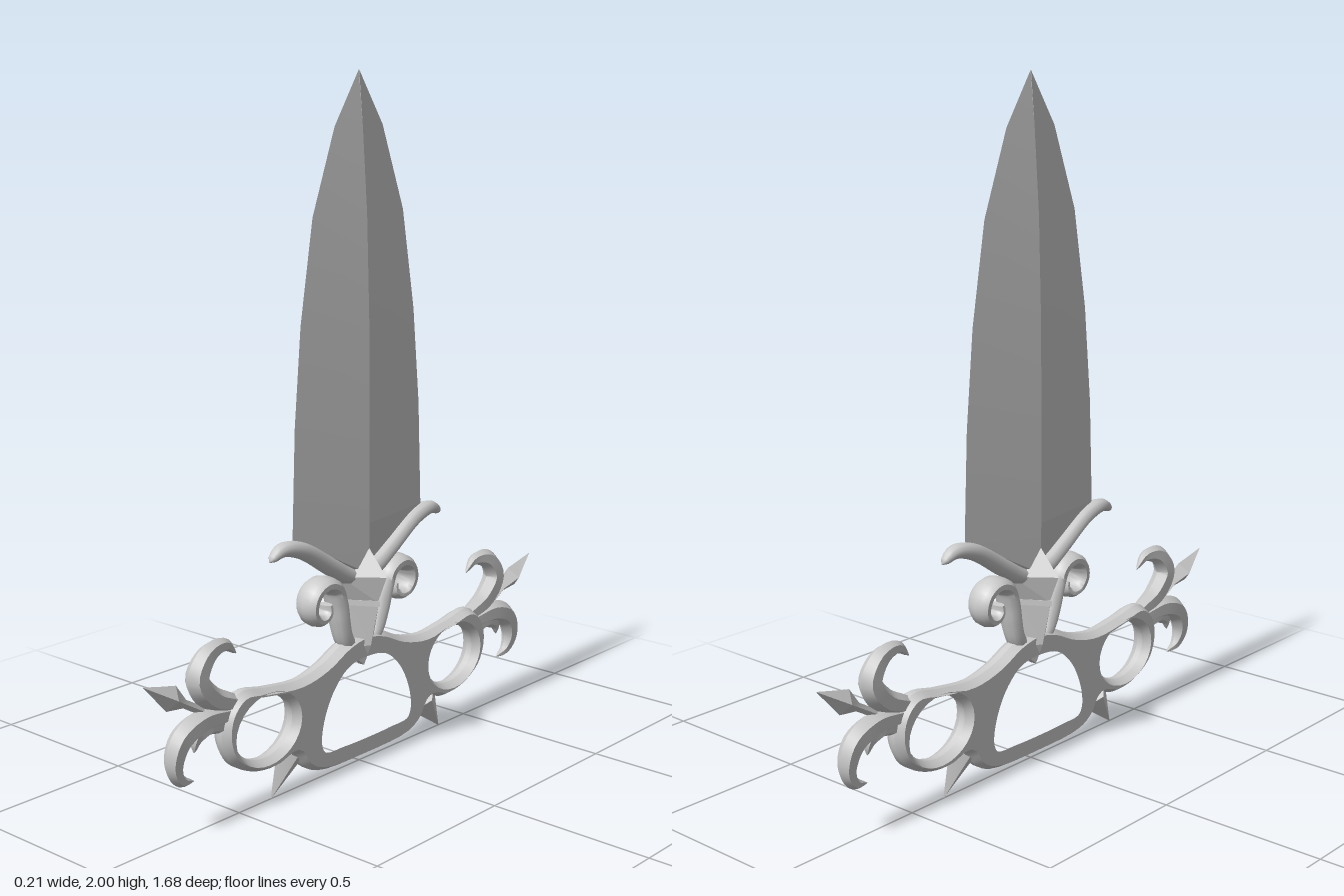
import * as THREE from 'three';
import { toCreasedNormals } from 'three/addons/utils/BufferGeometryUtils.js';

const material = new THREE.MeshStandardMaterial({ color: 0xcccccc });

function mesh(name, geometry, crease) {
  const m = new THREE.Mesh(toCreasedNormals(geometry, crease), material);
  m.name = name;
  return m;
}

// Skins a list of closed rings (equal point counts) and caps both ends.
function loft(rings) {
  const n = rings[0].length, pos = [], idx = [];
  rings.forEach(r => r.forEach(p => pos.push(p.x, p.y, p.z)));
  for (let j = 0; j < rings.length - 1; j++) {
    for (let i = 0; i < n; i++) {
      const a = j * n + i, b = j * n + (i + 1) % n;
      idx.push(a, b, a + n, b, b + n, a + n);
    }
  }
  const last = (rings.length - 1) * n;
  for (let i = 1; i < n - 1; i++) idx.push(0, i + 1, i, last, last + i, last + i + 1);
  const g = new THREE.BufferGeometry();
  g.setAttribute('position', new THREE.Float32BufferAttribute(pos, 3));
  g.setIndex(idx);
  return g;
}

// Oval ring around a point: w in the flat plane of the weapon, t across it.
function ring(center, normal, w, t, sides) {
  return Array.from({ length: sides }, (_, i) => {
    const a = i / sides * Math.PI * 2;
    const p = center.clone().addScaledVector(normal, w * Math.cos(a));
    p.x += t * Math.sin(a);
    return p;
  });
}

// Upright diamond solid from [y, halfZ, halfX] rows, bottom to top.
function diamond(rows) {
  const n = new THREE.Vector3(0, 0, 1);
  return loft(rows.map(([y, w, t]) => ring(new THREE.Vector3(0, y, 0), n, w, t, 4)));
}

// Sweep through [z, y] points; width and thickness are rules of the way along.
function sweep(points, side, sides, steps, width, thickness) {
  const path = new THREE.CatmullRomCurve3(points.map(([z, y]) => new THREE.Vector3(0, y, z * side)));
  const rings = [];
  for (let j = 0; j <= steps; j++) {
    const u = j / steps, t = path.getTangentAt(u);
    rings.push(ring(path.getPointAt(u), new THREE.Vector3(0, -t.z, t.y),
      Math.max(width(u), 0.001), Math.max(thickness(u), 0.001), sides));
  }
  return loft(rings);
}

// Closed smooth outline symmetric about the centre, from its +z half.
function symmetric(half) {
  const left = half.slice(1, -1).reverse().map(([z, y]) => [-z, y]);
  const pts = [...half, ...left].map(([z, y]) => new THREE.Vector3(z, y, 0));
  return new THREE.CatmullRomCurve3(pts, true).getPoints(110).slice(0, -1)
    .map(p => new THREE.Vector2(p.x, p.y));
}

// Bevelled plate with a hand opening and two finger holes
function knuckleFrame() {
  const shape = new THREE.Shape(symmetric([
    [0, 0.4], [0.08, 0.385], [0.17, 0.345], [0.27, 0.325], [0.4, 0.338], [0.5, 0.352],
    [0.555, 0.31], [0.572, 0.24], [0.545, 0.165], [0.47, 0.115], [0.38, 0.098],
    [0.295, 0.115], [0.25, 0.06], [0.19, 0.03], [0, 0.02]]));
  shape.holes.push(new THREE.Path(symmetric([
    [0, 0.345], [0.09, 0.33], [0.16, 0.27], [0.205, 0.18], [0.212, 0.11],
    [0.19, 0.075], [0.1, 0.067], [0, 0.065]])));
  for (const side of [1, -1]) {
    const hole = new THREE.Path();
    hole.absellipse(0.41 * side, 0.225, 0.115, 0.09, 0, Math.PI * 2);
    shape.holes.push(hole);
  }
  const g = new THREE.ExtrudeGeometry(shape, {
    depth: 0.02, bevelSize: 0.015, bevelOffset: -0.015, bevelThickness: 0.024,
    bevelSegments: 1, curveSegments: 14 });
  g.translate(0, 0, -0.01);
  g.rotateY(-Math.PI / 2);
  return g;
}

// Round horn, blunt at the tip
function guardHorn(side) {
  const w = u => (0.03 - 0.007 * u) * Math.sqrt(1 - u ** 8);
  const path = [[0, 0.57], [0.06, 0.585], [0.13, 0.625], [0.25, 0.696], [0.325, 0.709], [0.37, 0.685]];
  return sweep(path, side, 10, 28, w, u => w(u) * 1.2);
}

// Stem that winds into a spiral
function scroll(side) {
  const path = [[0.03, 0.35], [0.065, 0.39], [0.085, 0.45]];
  for (let i = 0; i <= 8; i++) {
    const s = i / 8, a = Math.PI * (1 - 2 * s), r = 0.065 - 0.045 * s * s;
    path.push([0.165 + r * Math.cos(a), 0.515 + r * Math.sin(a)]);
  }
  return sweep(path, side, 10, 44, u => 0.026 - 0.013 * u ** 3,
    u => 0.026 + 0.018 * Math.sin(Math.PI * u));
}

// Curling leaf, fullest near the middle and pointed at the end
function leaf(path, side, size) {
  const w = u => size * Math.max(0, Math.sin(Math.PI * (0.2 + 0.8 * u))) ** 0.7;
  return sweep(path, side, 6, 24, w, u => w(u) * 0.88);
}

// Thin neck, then a four-sided point
function spearPoint(side) {
  const w = u => 0.036 * (u < 0.5 ? 0.33 : (1 - u) / 0.4);
  return sweep([[0.6, 0.315], [0.838, 0.455]], side, 4, 5, w, u => w(u) * 0.85);
}

function bottomSpike(side) {
  return sweep([[0.3, 0.11], [0.374, 0.001]], side, 4, 1, u => 0.058 * (1 - u), u => 0.034 * (1 - u));
}

export function createModel() {
  const group = new THREE.Group();
  group.name = 'pushDagger';

  // Blade with a central ridge, its foot hidden by the guard
  group.add(mesh('blade', diamond([
    [0.58, 0.05, 0.038], [0.73, 0.278, 0.04], [1.04, 0.266, 0.04], [1.32, 0.24, 0.038],
    [1.61, 0.19, 0.03], [1.85, 0.1, 0.014], [2, 0.001, 0.001]]), 0.1));

  // Faceted centre jewel, collar and pendant
  group.add(mesh('jewel', diamond([[0.5, 0.045, 0.072], [0.58, 0.08, 0.105], [0.7, 0.001, 0.001]]), 0.1));
  group.add(mesh('collar', diamond([[0.488, 0.048, 0.08], [0.505, 0.048, 0.08]]), 0.1));
  group.add(mesh('pendant', diamond([[0.3, 0.002, 0.02], [0.365, 0.064, 0.046], [0.49, 0.043, 0.074]]), 0.1));

  group.add(mesh('knuckleFrame', knuckleFrame(), 0.5));

  // Mirrored ornaments
  for (const side of [1, -1]) {
    group.add(mesh('guardHorn', guardHorn(side), 0.9));
    group.add(mesh('scroll', scroll(side), 0.9));
    group.add(mesh('upperLeaf', leaf(
      [[0.52, 0.325], [0.6, 0.36], [0.648, 0.425], [0.61, 0.485], [0.545, 0.496], [0.503, 0.462]], side, 0.037), 0.5));
    group.add(mesh('lowerLeaf', leaf(
      [[0.54, 0.3], [0.64, 0.305], [0.715, 0.272], [0.738, 0.208], [0.714, 0.161], [0.668, 0.147]], side, 0.037), 0.5));
    group.add(mesh('innerLobe', leaf(
      [[0.56, 0.27], [0.61, 0.285], [0.655, 0.262], [0.665, 0.225]], side, 0.026), 0.5));
    group.add(mesh('spearPoint', spearPoint(side), 0.3));
    group.add(mesh('bottomSpike', bottomSpike(side), 0.3));
  }
  return group;
}
